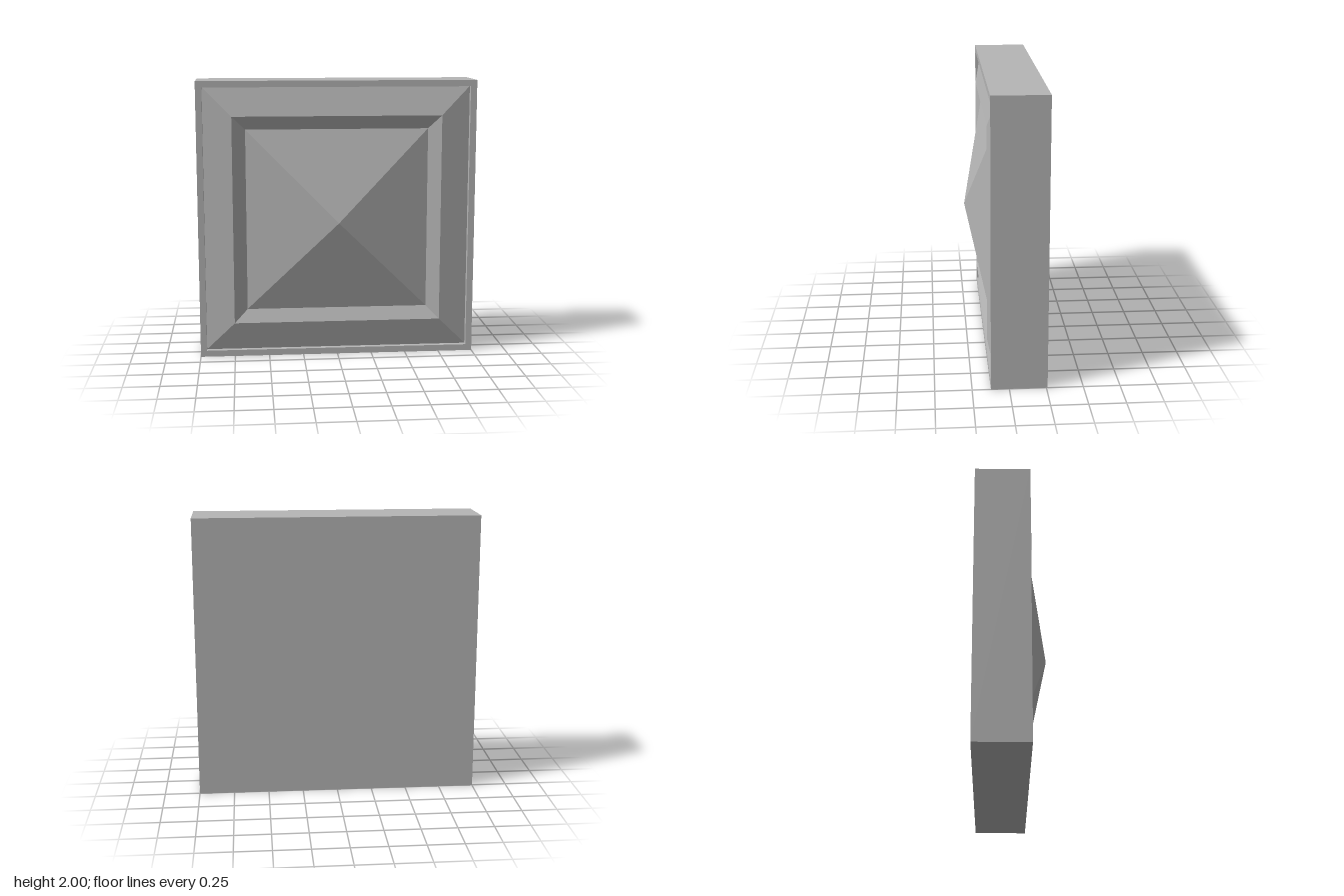
import * as THREE from 'three';

const stone = new THREE.MeshStandardMaterial({ color: 0xb6b6b6 });
stone.name = 'greyStone';

// Square lathe facing +z: profile is a list of [half width, z], back to front
function squareLathe(name, profile) {
  const points = profile.map(([half, z]) => new THREE.Vector2(half * Math.SQRT2, z));
  const geometry = new THREE.LatheGeometry(points, 4, Math.PI / 4).toNonIndexed();
  geometry.rotateX(Math.PI / 2);
  geometry.computeVertexNormals(); // flat facets
  const mesh = new THREE.Mesh(geometry, stone);
  mesh.name = name;
  mesh.position.y = 1;
  return mesh;
}

export function createModel() {
  const group = new THREE.Group();
  group.name = 'pyramidPanel';

  // Block with flat back, thin front rim and the recess wall inside it
  group.add(squareLathe('block', [[0, -0.258], [1, -0.258], [1, 0.124], [0.955, 0.124], [0.955, 0.084]]));

  // Moulding rising to a ridge and dropping to the centre
  group.add(squareLathe('moulding', [[0.955, 0.084], [0.75, 0.134], [0.655, 0.095]]));

  // Central pyramid
  group.add(squareLathe('pyramid', [[0.655, 0.095], [0, 0.258]]));

  return group;
}
